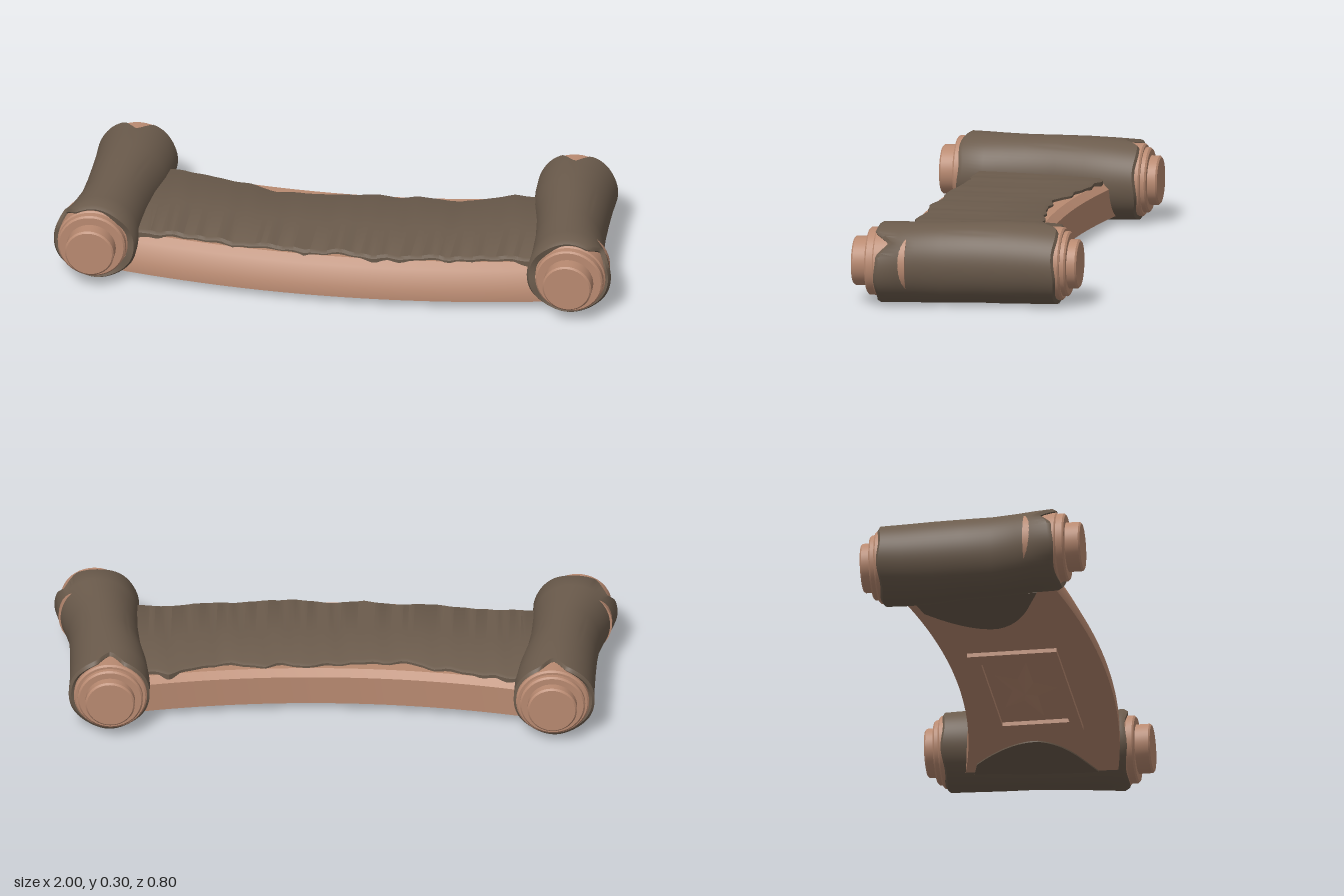
import * as THREE from 'three';
import { toCreasedNormals } from 'three/addons/utils/BufferGeometryUtils.js';

const clay = new THREE.MeshStandardMaterial({ color: 0xb98a71 });
clay.name = 'clay';
const parchment = new THREE.MeshStandardMaterial({ color: 0x6b5b4c });
parchment.name = 'parchment';

// Skin a row of closed rings (counter-clockwise around the direction of travel)
function loft(rings, crease) {
  const n = rings[0].length, pos = [], idx = [];
  rings.forEach(r => r.forEach(p => pos.push(...p)));
  for (let i = 0; i < rings.length - 1; i++) {
    for (let j = 0; j < n; j++) {
      const a = i * n + j, b = i * n + (j + 1) % n;
      idx.push(a, b, b + n, a, b + n, a + n);
    }
  }
  const g = new THREE.BufferGeometry();
  g.setAttribute('position', new THREE.Float32BufferAttribute(pos, 3));
  g.setIndex(idx);
  g.computeVertexNormals();
  return toCreasedNormals(g, crease);
}

// Piecewise linear lookup in [position, value] pairs
function sample(table, x) {
  if (x <= table[0][0]) return table[0][1];
  for (let i = 1; i < table.length; i++) {
    const [x0, v0] = table[i - 1], [x1, v1] = table[i];
    if (x <= x1) return v0 + (v1 - v0) * (x - x0) / (x1 - x0);
  }
  return table[table.length - 1][1];
}

function add(parent, name, geometry, material) {
  const m = new THREE.Mesh(geometry, material);
  m.name = name;
  parent.add(m);
  return m;
}

// Bowed slab with a sloping front face
function baseGeometry() {
  const rings = [];
  for (let i = 0; i <= 32; i++) {
    const x = -0.78 + 1.56 * i / 32, q = x * x;
    const back = -0.17 - 0.16 * q, front = 0.365 - 0.13 * q;
    rings.push([
      [x, 0.028, back], [x, 0.135, back], [x, 0.158, back + 0.025],
      [x, 0.158, front - 0.06], [x, 0.135, front - 0.035], [x, 0.07, front], [x, 0.028, front],
    ]);
  }
  return loft(rings, 0.5);
}

// Sheet lying on the slab, with ragged long edges
function sheetGeometry() {
  const backEdge = [[-0.78, -0.22], [-0.6, -0.21], [-0.45, -0.17], [-0.35, -0.15], [-0.27, -0.11],
    [-0.05, -0.12], [0.1, -0.145], [0.17, -0.13], [0.24, -0.15], [0.4, -0.135], [0.5, -0.175], [0.58, -0.21], [0.78, -0.2]];
  const frontEdge = [[-0.78, 0.25], [-0.5, 0.26], [-0.4, 0.28], [-0.3, 0.292], [-0.2, 0.285], [-0.1, 0.31],
    [0, 0.29], [0.17, 0.312], [0.35, 0.285], [0.5, 0.275], [0.58, 0.25], [0.78, 0.26]];
  const rings = [];
  for (let i = 0; i <= 78; i++) {
    const x = -0.78 + 0.02 * i;
    const ripple = 0.004 * Math.sin(x * 41) + 0.003 * Math.sin(x * 73);
    const b = sample(backEdge, x) + ripple, f = sample(frontEdge, x) - ripple;
    const top = 0.172 + 0.005 * x * x + ripple * 0.3;
    rings.push([
      [x, 0.145, b], [x, top - 0.006, b], [x, top, b + 0.012], [x, top - 0.001, (b + f) / 2],
      [x, top, f - 0.012], [x, top - 0.008, f], [x, 0.142, f],
    ]);
  }
  return loft(rings, 0.6);
}

// Rolled sheet: waisted tube, flared outward at the front, with a tear at each end
function rollGeometry(side) {
  // z, centre x, half width, half height, scale, tear amount
  const sections = [
    [-0.315, 0.79, 0.142, 0.143, 0.8, 1], [-0.33, 0.79, 0.142, 0.137, 0.95, 1], [-0.322, 0.79, 0.144, 0.143, 1, 1],
    [-0.24, 0.79, 0.142, 0.146, 1, 0], [-0.14, 0.797, 0.136, 0.1475, 1, 0], [-0.03, 0.81, 0.126, 0.145, 1, 0],
    [0.08, 0.82, 0.124, 0.145, 1, 0], [0.17, 0.833, 0.133, 0.144, 1, 0], [0.23, 0.843, 0.142, 0.144, 1, 0],
    [0.3, 0.85, 0.15, 0.144, 1, 1], [0.315, 0.85, 0.149, 0.142, 0.95, 1], [0.308, 0.85, 0.148, 0.142, 0.8, 1],
  ];
  const n = 64;
  const rings = sections.map(([z, cx, rx, ry, s, tear]) => {
    const ring = [], tearAt = z < 0 ? 1.6 : 0.7, cy = z < 0 ? 0.148 : 0.145;
    for (let j = 0; j < n; j++) {
      const a = side * j / n * Math.PI * 2;
      const away = Math.abs(Math.atan2(Math.sin(a - tearAt), Math.cos(a - tearAt)));
      const notch = 0.05 * Math.max(0, 1 - away / 0.35) + 0.004 * Math.sin(a * 5) + (z > 0 ? 0.008 * Math.cos(a) : 0);
      ring.push([side * (cx + rx * s * Math.cos(a)), cy + ry * s * Math.sin(a), z - Math.sign(z) * tear * notch]);
    }
    return ring;
  });
  return loft(rings, 0.8);
}

// Round disc along z, with a softened rim on the outer end
function discGeometry(r, z0, z1) {
  const e = 0.006;
  const g = new THREE.LatheGeometry([[0, z0], [r, z0], [r, z1 - e], [r - e, z1], [0, z1]]
    .map(p => new THREE.Vector2(...p)), 40);
  return toCreasedNormals(g.rotateX(Math.PI / 2), 0.6);
}

// Raised frame with a faceted star inside, under the slab
function addUnderRelief(group) {
  const relief = new THREE.Group();
  relief.name = 'undersideRelief';
  const frame = new THREE.Shape();
  frame.moveTo(-0.33, -0.16).lineTo(0.33, -0.16).lineTo(0.33, 0.16).lineTo(-0.33, 0.16).closePath();
  const hole = new THREE.Path();
  hole.moveTo(-0.26, -0.12).lineTo(-0.26, 0.12).lineTo(0.26, 0.12).lineTo(0.26, -0.12).closePath();
  frame.holes.push(hole);
  const frameGeo = new THREE.ExtrudeGeometry(frame, { depth: 0.016, bevelEnabled: false });
  add(relief, 'reliefFrame', frameGeo.rotateX(Math.PI / 2), clay);

  const pos = [];
  const point = k => {
    const r = k % 2 ? 0.4 : 1, a = k * Math.PI / 5 + Math.PI / 2;
    return [0.25 * r * Math.cos(a), 0, 0.12 * r * Math.sin(a)];
  };
  for (let k = 0; k < 10; k++) pos.push(...point(k), ...point(k + 1), 0, -0.019, 0);
  const star = new THREE.BufferGeometry();
  star.setAttribute('position', new THREE.Float32BufferAttribute(pos, 3));
  star.computeVertexNormals();
  add(relief, 'reliefStar', star, clay);
  relief.position.set(0.05, 0.029, 0.06);
  group.add(relief);
}

export function createModel() {
  const model = new THREE.Group();
  model.name = 'scroll';
  add(model, 'base', baseGeometry(), clay);
  add(model, 'sheet', sheetGeometry(), parchment);
  addUnderRelief(model);

  for (const side of [1, -1]) {
    const end = new THREE.Group();
    end.name = side > 0 ? 'leftRoll' : 'rightRoll';
    add(end, 'rolledSheet', rollGeometry(side), parchment);

    // Stepped core ends: x, y, direction, then [radius, inner, outer] steps
    const caps = [
      [0.857, 0.148, 1, [[0.126, 0.2, 0.318], [0.121, 0.3, 0.346], [0.088, 0.3, 0.4]]],
      [0.785, 0.148, -1, [[0.13, 0.2, 0.345], [0.116, 0.3, 0.365], [0.088, 0.3, 0.4]]],
    ];
    for (const [x, y, dir, steps] of caps) {
      const cap = new THREE.Group();
      cap.name = dir > 0 ? 'frontCap' : 'backCap';
      steps.forEach(([r, z0, z1], i) => add(cap, ['core', 'collar', 'knob'][i], discGeometry(r, z0, z1), clay));
      cap.position.set(side * x, y, 0);
      if (dir < 0) cap.rotation.y = Math.PI;
      end.add(cap);
    }

    // Tongue of sheet wrapped onto the underside
    const tongue = new THREE.Shape();
    tongue.moveTo(0.76, -0.23).lineTo(0.64, -0.2).quadraticCurveTo(0.47, -0.06, 0.48, 0.04)
      .quadraticCurveTo(0.5, 0.12, 0.66, 0.18).lineTo(0.76, 0.22).closePath();
    const flap = new THREE.ExtrudeGeometry(tongue, { depth: 0.006, bevelEnabled: false });
    flap.rotateX(Math.PI / 2);
    if (side < 0) flap.rotateZ(Math.PI).translate(0, -0.006, 0);
    add(end, 'undersideFlap', flap, parchment).position.y = 0.029;
    model.add(end);
  }
  return model;
}
